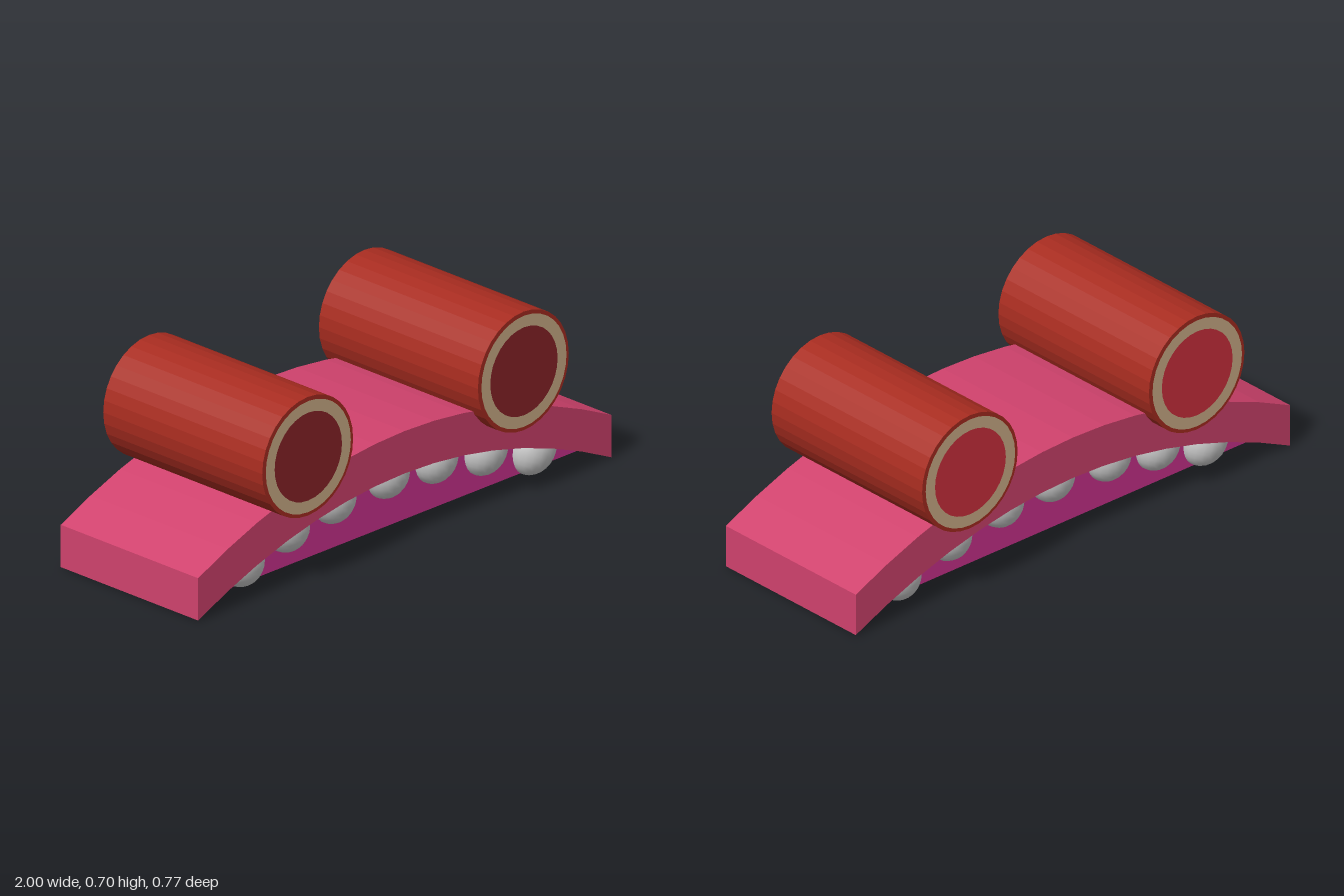
import * as THREE from 'three';

const paint = (color) => new THREE.MeshStandardMaterial({ color, flatShading: true });

// Height of the shallow arch at x: zero at the ends, rising to the middle
const RISE = 0.243;
const archY = (x) => RISE * (1 - x * x);

function extrudeCentred(points, depth) {
  const shape = new THREE.Shape(points);
  const geometry = new THREE.ExtrudeGeometry(shape, { depth, bevelEnabled: false });
  return geometry.translate(0, 0, -depth / 2);
}

function add(parent, name, geometry, material) {
  const mesh = new THREE.Mesh(geometry, material);
  mesh.name = name;
  parent.add(mesh);
  return mesh;
}

export function createModel() {
  const model = new THREE.Group();
  model.name = 'archedBandWithEyes';
  const pink = paint(0xd0426d);
  const magenta = paint(0xcc328f);
  const red = paint(0xa82c20);
  const tan = paint(0xcfb089);
  const frontRed = paint(0x8a2328);
  const backRed = paint(0xd0303d);
  const grey = new THREE.MeshStandardMaterial({ color: 0xcccccc });

  // Curved band made of straight segments
  const SEGMENTS = 14;
  const lower = [];
  for (let i = 0; i <= SEGMENTS; i++) {
    const x = -1 + (2 * i) / SEGMENTS;
    lower.push(new THREE.Vector2(x, archY(x)));
  }
  const upper = lower.map((p) => new THREE.Vector2(p.x, p.y + 0.157)).reverse();
  add(model, 'archBand', extrudeCentred([...lower, ...upper], 0.66), pink);

  // Narrower core filling the space under the arch
  const inner = lower.slice(1, -1).map((p) => new THREE.Vector2(p.x, p.y + 0.005));
  const core = [new THREE.Vector2(-0.975, 0.01), ...inner, new THREE.Vector2(0.975, 0.01)];
  add(model, 'core', extrudeCentred(core.reverse(), 0.45), magenta);

  // Rounded teeth along both long sides
  const toothGeometry = new THREE.SphereGeometry(1, 20, 14);
  const toothX = [-0.695, -0.475, -0.25, 0.01, 0.245, 0.485, 0.72];
  for (const side of [1, -1]) {
    const row = new THREE.Group();
    row.name = side > 0 ? 'frontTeeth' : 'backTeeth';
    for (const x of toothX) {
      const tooth = add(row, 'tooth', toothGeometry, grey);
      tooth.scale.set(0.09, 0.105, 0.085);
      tooth.position.set(x, archY(x) - 0.018, side * 0.225);
      tooth.rotation.z = Math.atan(-2 * RISE * x);
    }
    model.add(row);
  }

  // Two round tubes lying across the band, each end with a ring and a disc
  for (const side of [1, -1]) {
    const eye = new THREE.Group();
    eye.name = side > 0 ? 'leftEye' : 'rightEye';
    eye.position.set(side * 0.522, 0.48, 0);

    const tube = new THREE.CylinderGeometry(0.22, 0.22, 0.764, 32);
    add(eye, 'eyeTube', tube.rotateX(Math.PI / 2), red);

    for (const end of [1, -1]) {
      const cap = new THREE.Group();
      cap.name = end > 0 ? 'frontCap' : 'backCap';
      cap.rotation.y = end > 0 ? 0 : Math.PI;
      const ring = add(cap, 'eyeRing', new THREE.RingGeometry(0.163, 0.206, 32), tan);
      const disc = add(cap, 'eyeDisc', new THREE.CircleGeometry(0.163, 32), end > 0 ? frontRed : backRed);
      ring.position.z = disc.position.z = 0.385;
      eye.add(cap);
    }
    model.add(eye);
  }
  return model;
}
